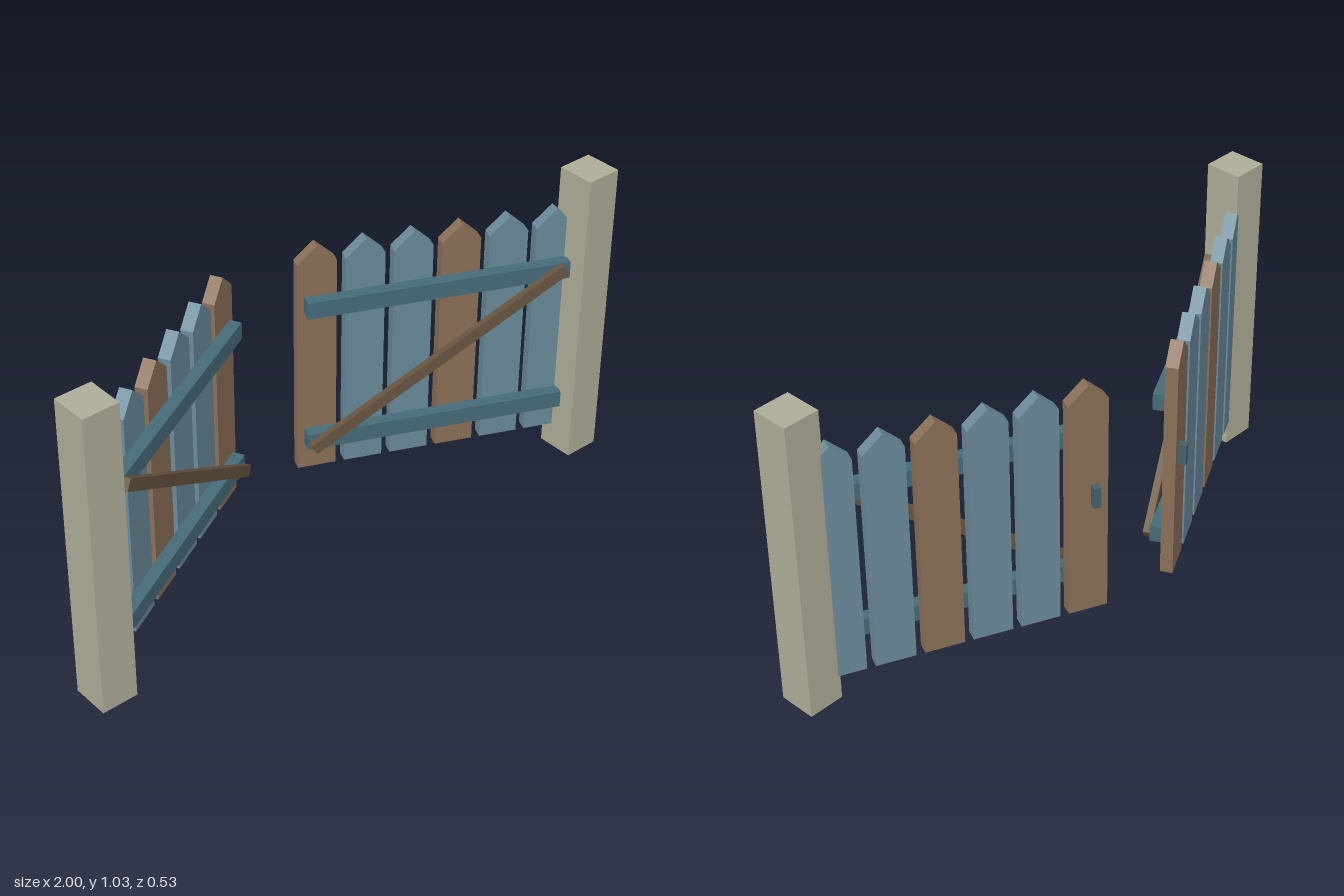
import * as THREE from 'three';

const mat = (color) => new THREE.MeshStandardMaterial({ color, flatShading: true });

export function createModel() {
  const model = new THREE.Group();
  model.name = 'doubleGate';
  const blue = mat(0x6a8a9a), brown = mat(0x8a7058), rail = mat(0x456b78);
  const braceMat = mat(0x685540), stone = mat(0xaeac98), metal = mat(0x45626a);

  const box = (parent, name, material, size, pos) => {
    const mesh = new THREE.Mesh(new THREE.BoxGeometry(...size), material);
    mesh.name = name;
    mesh.position.set(...pos);
    parent.add(mesh);
    return mesh;
  };

  // Pointed picket, centred on x, back face at z = 0
  const W = 0.126, T = 0.04, PITCH = 0.1535;
  const outline = new THREE.Shape([
    [-W / 2, 0.084], [W / 2, 0.084], [W / 2, 0.842], [0, 0.901], [-W / 2, 0.842],
  ].map(([x, y]) => new THREE.Vector2(x, y)));
  const picketGeo = new THREE.ExtrudeGeometry(outline, { depth: T, bevelEnabled: false });

  // One leaf: local origin at the free end, side = direction towards its hinge
  const makeGate = (name, side, x, z, angle) => {
    const gate = new THREE.Group();
    gate.name = name;
    gate.position.set(x, 0, z);
    gate.rotation.y = -side * angle;

    for (let i = 0; i < 6; i++) {
      const picket = new THREE.Mesh(picketGeo, i % 3 === 0 ? brown : blue);
      picket.name = 'picket';
      picket.position.x = side * (W / 2 + i * PITCH);
      gate.add(picket);
    }

    // Horizontal rails across the front
    for (const y of [0.2075, 0.6995]) {
      box(gate, 'rail', rail, [0.85, 0.057, 0.04], [side * 0.447, y, T + 0.02]);
    }

    // Diagonal brace, low at the free end and high at the hinge
    const a = [0.036, 0.19], b = [0.85, 0.717];
    const du = b[0] - a[0], dy = b[1] - a[1];
    const brace = box(gate, 'brace', braceMat, [Math.hypot(du, dy), 0.038, 0.023],
      [side * (a[0] + b[0]) / 2, (a[1] + b[1]) / 2, T + 0.0515]);
    brace.rotation.z = side * Math.atan2(dy, du);

    // Handle on the back of the end picket
    box(gate, 'handle', metal, [0.023, 0.072, 0.025], [side * 0.043, 0.514, -0.0125]);
    model.add(gate);
  };

  makeGate('rightGate', -1, -0.14, -0.258, THREE.MathUtils.degToRad(28));
  makeGate('leftGate', 1, 0.106, -0.209, THREE.MathUtils.degToRad(24.1));

  // Stone posts
  for (const side of [-1, 1]) {
    box(model, side < 0 ? 'rightPost' : 'leftPost', stone,
      [0.12, 1.027, 0.125], [side * 0.94, 0.5135, 0.203]);
  }
  return model;
}
